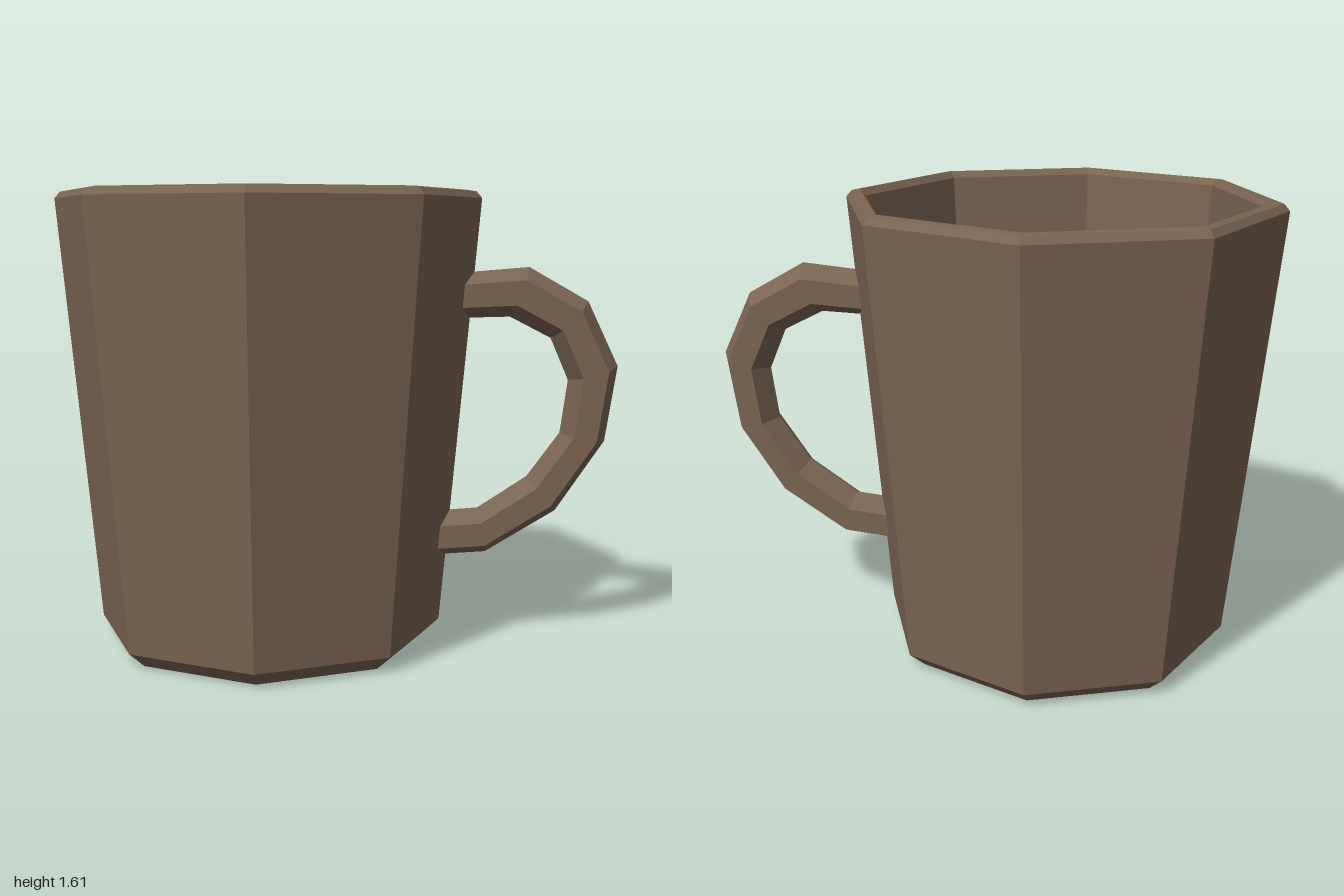
import * as THREE from 'three';

const CUP_X = -0.245;

// Handle: six-sided rings, each spanned by an outer and an inner edge point
function handleGeometry(outer, inner, halfWidth) {
  const section = [[0, 0], [0.25, 1], [0.75, 1], [1, 0], [0.75, -1], [0.25, -1]];
  const positions = [];
  const index = [];
  outer.forEach(([ox, oy], i) => {
    const [ix, iy] = inner[i];
    for (const [t, side] of section) {
      positions.push(ox + (ix - ox) * t, oy + (iy - oy) * t, side * halfWidth);
    }
  });
  const n = section.length;
  const last = (outer.length - 1) * n;
  for (let i = 0; i < last; i += n) {
    for (let j = 0; j < n; j++) {
      const a = i + j, b = i + (j + 1) % n;
      index.push(a, b, b + n, a, b + n, a + n);
    }
  }
  // End caps
  for (let j = 1; j < n - 1; j++) {
    index.push(0, j + 1, j, last, last + j, last + j + 1);
  }
  const geometry = new THREE.BufferGeometry();
  geometry.setAttribute('position', new THREE.Float32BufferAttribute(positions, 3));
  geometry.setIndex(index);
  geometry.computeVertexNormals();
  return geometry;
}

export function createModel() {
  const model = new THREE.Group();
  model.name = 'mug';
  const brown = new THREE.MeshStandardMaterial({ color: 0x7a6452, flatShading: true });

  // Eight-sided cup: base, bevel, outer wall, rim, inner wall, floor
  const profile = [
    [0, 0], [0.56, 0], [0.62, 0.055], [0.755, 1.58], [0.735, 1.603],
    [0.705, 1.608], [0.685, 1.585], [0.572, 0.1], [0, 0.1],
  ].map(([r, y]) => new THREE.Vector2(r, y));
  const cup = new THREE.Mesh(new THREE.LatheGeometry(profile, 8), brown);
  cup.name = 'cup';
  cup.position.x = CUP_X;
  model.add(cup);

  // Handle, its ends sunk into the wall
  const outer = [[0.44, 1.32], [0.68, 1.34], [0.89, 1.22], [1, 0.99],
    [0.96, 0.72], [0.79, 0.465], [0.54, 0.31], [0.36, 0.297]];
  const inner = [[0.425, 1.16], [0.615, 1.165], [0.76, 1.09], [0.825, 0.94],
    [0.8, 0.75], [0.685, 0.59], [0.51, 0.473], [0.355, 0.46]];
  const handle = new THREE.Mesh(handleGeometry(outer, inner, 0.083), brown);
  handle.name = 'handle';
  model.add(handle);

  return model;
}
